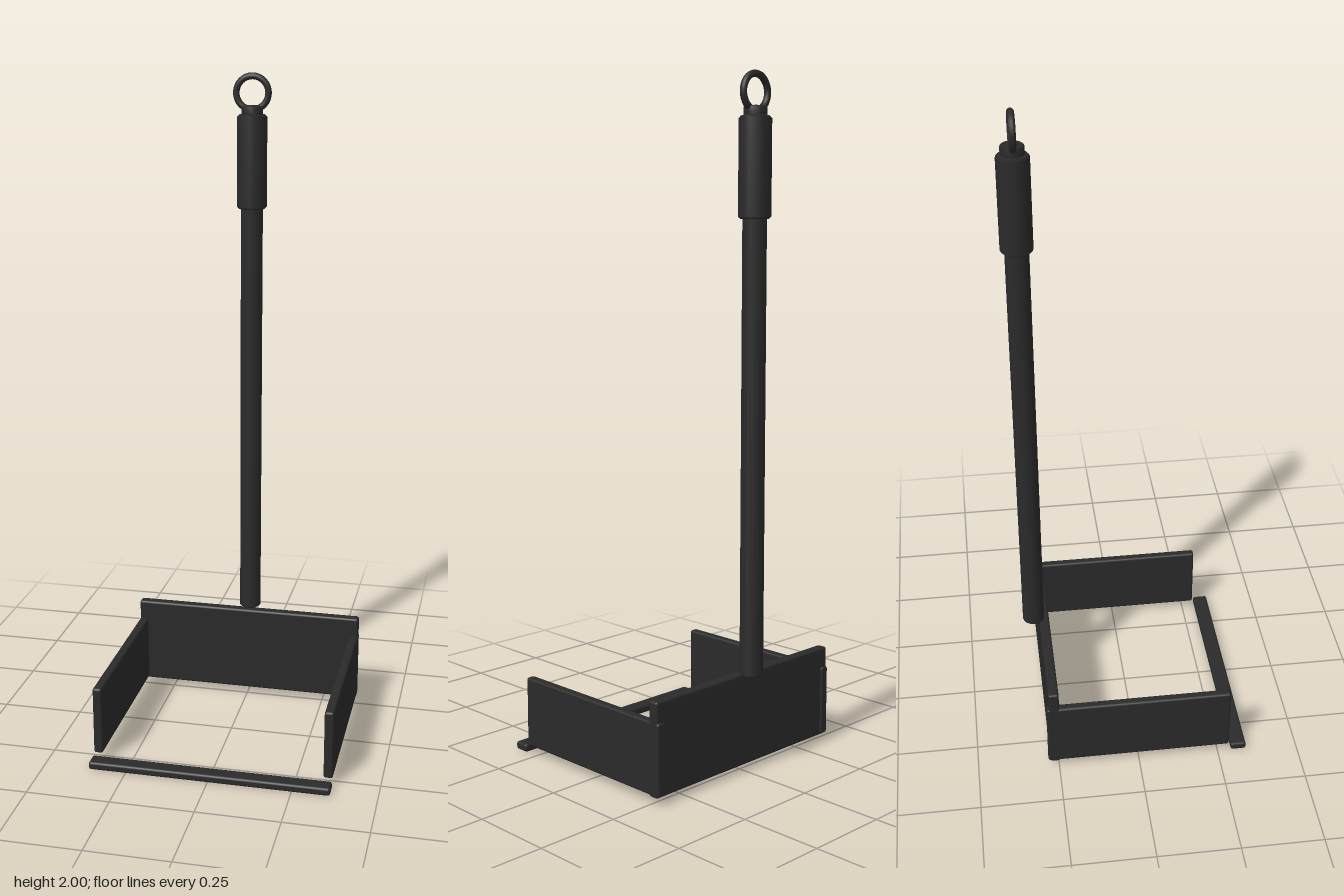
import * as THREE from 'three';
import { RoundedBoxGeometry } from 'three/addons/geometries/RoundedBoxGeometry.js';

export function createModel() {
  const model = new THREE.Group();
  model.name = 'longHandledDustpan';
  const black = new THREE.MeshStandardMaterial({ color: 0x2a2a2a });
  black.name = 'black plastic';
  const poleZ = -0.294;

  const add = (name, geometry, x, y, z) => {
    const mesh = new THREE.Mesh(geometry, black);
    mesh.name = name;
    mesh.position.set(x, y, z);
    model.add(mesh);
    return mesh;
  };

  // Softly rounded panel given by its extents
  const panel = (name, [x0, x1], [y0, y1], [z0, z1]) =>
    add(name, new RoundedBoxGeometry(x1 - x0, y1 - y0, z1 - z0, 2, 0.007),
      (x0 + x1) / 2, (y0 + y1) / 2, (z0 + z1) / 2);

  // Turned part on the pole axis, with chamfered ends
  const turned = (name, radius, y0, y1, bevel) => {
    const profile = [
      [0, y0], [radius - bevel, y0], [radius, y0 + bevel],
      [radius, y1 - bevel], [radius - bevel, y1], [0, y1],
    ].map(([r, y]) => new THREE.Vector2(r, y));
    return add(name, new THREE.LatheGeometry(profile, 16), 0, 0, poleZ);
  };

  // Pan: back, two sides and the separate front lip
  panel('backPanel', [-0.363, 0.363], [0.022, 0.298], [-0.277, -0.245]);
  for (const [name, s] of [['leftSide', 1], ['rightSide', -1]]) {
    const xs = [s * 0.335, s * 0.363].sort((a, b) => a - b);
    panel(name, xs, [0.026, 0.238], [-0.283, 0.285]);
  }
  panel('frontLip', [-0.363, 0.363], [0, 0.024], [0.292, 0.34]);

  // Handle: pole, grip, cap and hanging ring
  turned('pole', 0.034, 0.298, 1.62, 0.004);
  turned('grip', 0.046, 1.598, 1.878, 0.007);
  turned('gripCap', 0.033, 1.87, 1.904, 0.004);
  add('hangingRing', new THREE.TorusGeometry(0.049, 0.01, 10, 32), 0, 1.941, poleZ);

  return model;
}
